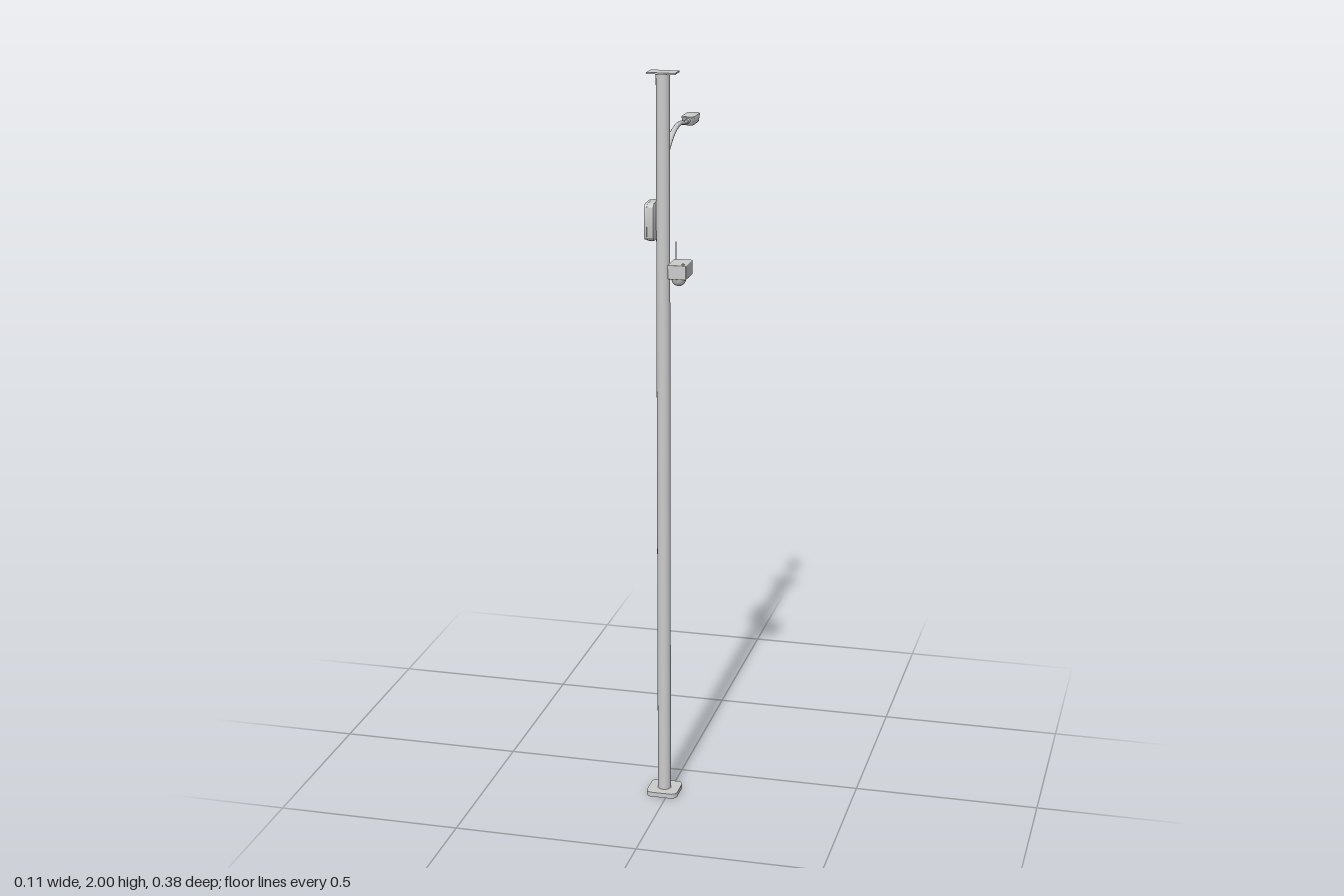
import * as THREE from 'three';
import { toCreasedNormals } from 'three/addons/utils/BufferGeometryUtils.js';
import { RoundedBoxGeometry } from 'three/addons/geometries/RoundedBoxGeometry.js';

const PX = -0.014, PZ = 0.144; // pole axis
const material = new THREE.MeshStandardMaterial({ color: 0xcccccc, side: THREE.DoubleSide });

function add(parent, name, geometry, x = 0, y = 0, z = 0) {
  const mesh = new THREE.Mesh(geometry, material);
  mesh.name = name;
  mesh.position.set(x, y, z);
  parent.add(mesh);
  return mesh;
}

function roundedRect(w, h, r, Type = THREE.Shape) {
  const s = new Type();
  const a = w / 2 - r, b = h / 2 - r;
  s.absarc(a, b, r, 0, Math.PI / 2);
  s.absarc(-a, b, r, Math.PI / 2, Math.PI);
  s.absarc(-a, -b, r, Math.PI, Math.PI * 1.5);
  s.absarc(a, -b, r, Math.PI * 1.5, Math.PI * 2);
  s.closePath();
  return s;
}

// Rounded slab, extruded along +z from 0 to depth, with an optional bevel
function slab(shape, depth, bevel = 0) {
  const g = new THREE.ExtrudeGeometry(shape, {
    depth: depth - 2 * bevel, curveSegments: 6, bevelEnabled: bevel > 0,
    bevelThickness: bevel, bevelSize: bevel, bevelOffset: -bevel, bevelSegments: 2,
  });
  g.translate(0, 0, bevel);
  return toCreasedNormals(g, 0.6);
}

function createPole(root) {
  // Foot plate with a central hole
  const foot = roundedRect(0.086, 0.086, 0.017);
  foot.holes.push(new THREE.Path().absarc(0, 0, 0.014, 0, Math.PI * 2, true));
  add(root, 'basePlate', slab(foot, 0.013).rotateX(-Math.PI / 2), PX, 0, PZ);
  add(root, 'pole', new THREE.CylinderGeometry(0.018, 0.018, 1.986, 32), PX, 1.004, PZ);
  add(root, 'topPlate', new THREE.BoxGeometry(0.075, 0.004, 0.047), PX, 1.998, PZ);
}

function createLamp(root) {
  const lamp = new THREE.Group();
  lamp.name = 'streetLamp';
  root.add(lamp);

  // Curved arm that tapers towards the head
  const curve = new THREE.CatmullRomCurve3([
    [1.763, 0.14], [1.795, 0.1], [1.822, 0.05], [1.835, 0],
    [1.836, -0.04], [1.83, -0.08], [1.828, -0.108],
  ].map(([y, z]) => new THREE.Vector3(PX, y, z)));
  const rings = 32, sides = 12;
  const arm = new THREE.TubeGeometry(curve, rings, 1, sides);
  const p = arm.attributes.position, v = new THREE.Vector3();
  for (let i = 0; i <= rings; i++) {
    const centre = curve.getPointAt(i / rings);
    const radius = THREE.MathUtils.lerp(0.009, 0.005, i / rings);
    for (let j = 0; j <= sides; j++) {
      const k = i * (sides + 1) + j;
      v.fromBufferAttribute(p, k).sub(centre).multiplyScalar(radius).add(centre);
      p.setXYZ(k, v.x, v.y, v.z);
    }
  }
  add(lamp, 'lampArm', arm);

  add(lamp, 'lampNeck', new THREE.CylinderGeometry(0.0075, 0.0065, 0.02, 16).rotateX(-Math.PI / 2),
    PX, 1.828, -0.113);

  // Flat head narrowing towards its underside
  const head = slab(roundedRect(0.037, 0.074, 0.01), 0.025, 0.003).rotateX(-Math.PI / 2);
  const h = head.attributes.position;
  for (let i = 0; i < h.count; i++) {
    const s = THREE.MathUtils.lerp(0.82, 1, Math.min(1, h.getY(i) / 0.014));
    h.setX(i, h.getX(i) * s);
    h.setZ(i, h.getZ(i) * s);
  }
  add(lamp, 'lampHead', toCreasedNormals(head, 0.6), PX, 1.815, -0.153);
  add(lamp, 'lampLens', new THREE.BoxGeometry(0.02, 0.002, 0.042), PX, 1.8145, -0.153);
}

function createWallUnit(root) {
  // Rounded cabinet on the pole's -x side, with a recessed outer face
  const unit = new THREE.Group();
  unit.name = 'sideCabinet';
  unit.position.set(-0.031, 1.615, 0.143);
  unit.rotation.y = -Math.PI / 2;
  root.add(unit);
  add(unit, 'cabinetBack', slab(roundedRect(0.074, 0.1, 0.015), 0.018, 0.002));
  const rim = roundedRect(0.07, 0.096, 0.014);
  rim.holes.push(roundedRect(0.046, 0.066, 0.012, THREE.Path));
  add(unit, 'cabinetRim', slab(rim, 0.009), 0, 0, 0.016);
  add(unit, 'cabinetDisc', new THREE.CylinderGeometry(0.014, 0.016, 0.004, 24).rotateX(Math.PI / 2), 0, 0, 0.019);
}

function createCamera(root) {
  const camera = new THREE.Group();
  camera.name = 'cameraUnit';
  root.add(camera);
  add(camera, 'cameraBox', new RoundedBoxGeometry(0.049, 0.038, 0.074, 2, 0.002), 0.031, 1.488, 0.144);
  add(camera, 'cameraBracket', new THREE.BoxGeometry(0.012, 0.026, 0.02), 0.004, 1.488, PZ);
  // Dome hanging below the front half
  const dome = [new THREE.Vector2(0.021, 0.006), new THREE.Vector2(0.021, 0)];
  for (let i = 1; i <= 8; i++) {
    const a = (i / 8) * Math.PI / 2;
    dome.push(new THREE.Vector2(0.019 * Math.cos(a), -0.003 - 0.019 * Math.sin(a)));
  }
  add(camera, 'cameraDome', new THREE.LatheGeometry(dome.reverse(), 24), 0.031, 1.47, 0.158);
  add(camera, 'antenna', new THREE.CylinderGeometry(0.0013, 0.0013, 0.05, 8), 0.013, 1.53, 0.115);
  add(camera, 'topKnob', new THREE.CylinderGeometry(0.004, 0.004, 0.003, 12), 0.045, 1.508, 0.17);
}

export function createModel() {
  const root = new THREE.Group();
  root.name = 'utilityPole';
  createPole(root);
  createLamp(root);
  createWallUnit(root);
  createCamera(root);
  return root;
}
